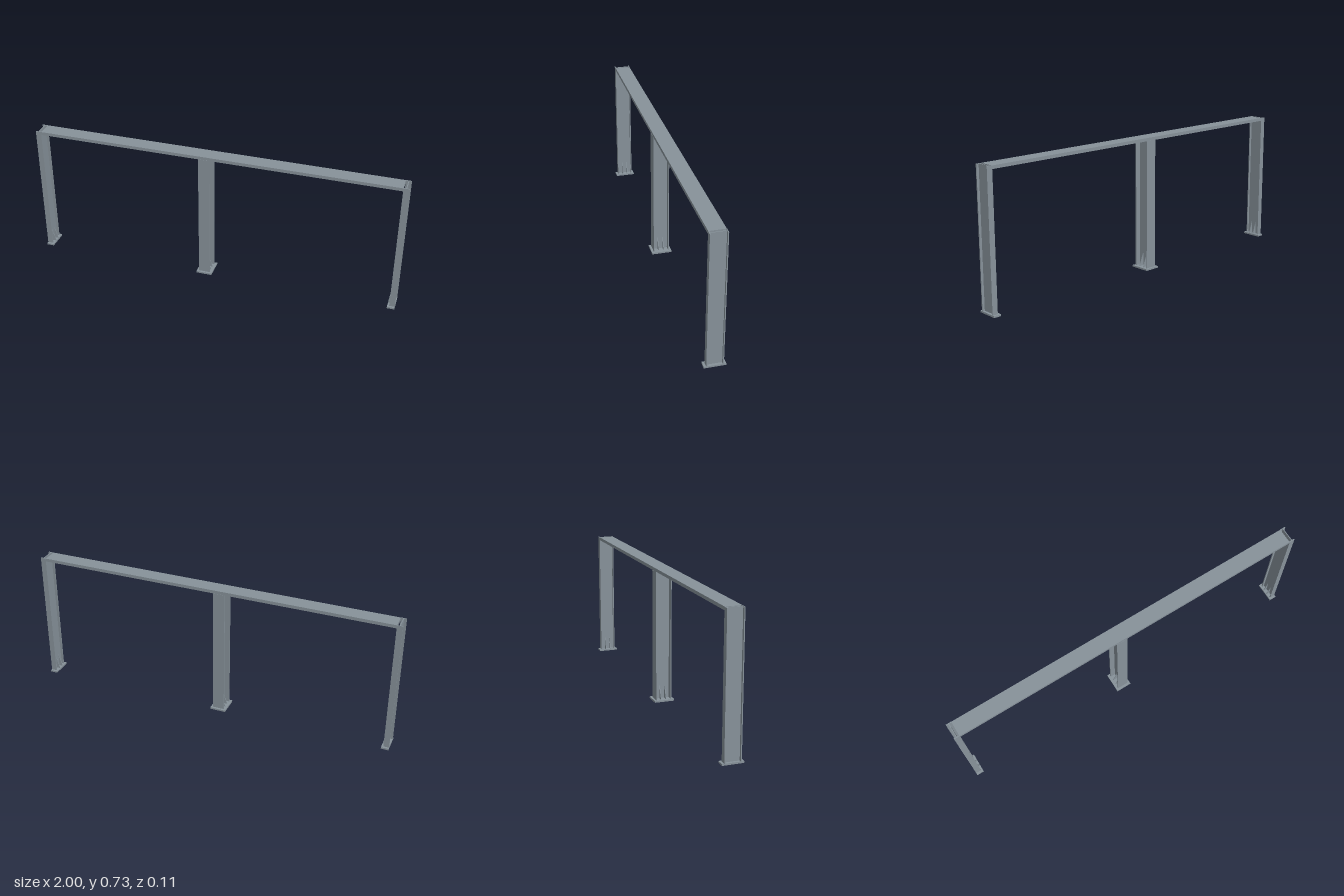
import * as THREE from 'three';

const HALF_DEPTH = 0.043, FLANGE = 0.005, WEB = 0.004, BASE = 0.009, TOP = 0.725, BEAM = 0.017;

export function createModel() {
  const steel = new THREE.MeshStandardMaterial({ color: 0x87929a });
  steel.name = 'greySteel';
  const model = new THREE.Group();
  model.name = 'steelFrame';

  // box given by its lower and upper limits
  function box(parent, name, x0, x1, y0, y1, z0, z1) {
    const mesh = new THREE.Mesh(new THREE.BoxGeometry(x1 - x0, y1 - y0, z1 - z0), steel);
    mesh.position.set((x0 + x1) / 2, (y0 + y1) / 2, (z0 + z1) / 2);
    mesh.name = name;
    parent.add(mesh);
  }

  // triangular stiffener standing on the base plate against the web
  function gusset(parent, side, length, z) {
    const shape = new THREE.Shape();
    shape.moveTo(0, 0);
    shape.lineTo(length, 0);
    shape.lineTo(0, 0.07);
    const geometry = new THREE.ExtrudeGeometry(shape, { depth: 0.003, bevelEnabled: false });
    geometry.translate(WEB / 2, BASE, -0.0015);
    const mesh = new THREE.Mesh(geometry, steel);
    mesh.rotation.y = side > 0 ? 0 : Math.PI;
    mesh.position.z = z;
    mesh.name = 'gusset';
    parent.add(mesh);
  }

  // H-section post with base plate and gussets
  function post(name, x, halfWidth, top, baseMin, baseMax, gussetSides, gussetLength) {
    const group = new THREE.Group();
    group.name = name;
    group.position.x = x;
    box(group, 'basePlate', baseMin, baseMax, 0, BASE, -0.055, 0.055);
    box(group, 'frontFlange', -halfWidth, halfWidth, BASE, top, HALF_DEPTH - FLANGE, HALF_DEPTH);
    box(group, 'backFlange', -halfWidth, halfWidth, BASE, top, -HALF_DEPTH, FLANGE - HALF_DEPTH);
    box(group, 'web', -WEB / 2, WEB / 2, BASE, top, FLANGE - HALF_DEPTH, HALF_DEPTH - FLANGE);
    for (const side of gussetSides)
      for (const z of [-0.014, 0.014]) gusset(group, side, gussetLength, z);
    model.add(group);
  }

  post('rightPost', -0.985, 0.015, TOP, -0.015, 0.025, [1], 0.022);
  post('leftPost', 0.985, 0.015, TOP, -0.025, 0.015, [-1], 0.022);
  post('middlePost', -0.05, 0.031, TOP - BEAM, -0.043, 0.043, [1, -1], 0.028);

  // beam spanning between the end posts
  box(model, 'beam', -0.97, 0.97, TOP - BEAM, TOP, -0.042, 0.042);
  return model;
}
